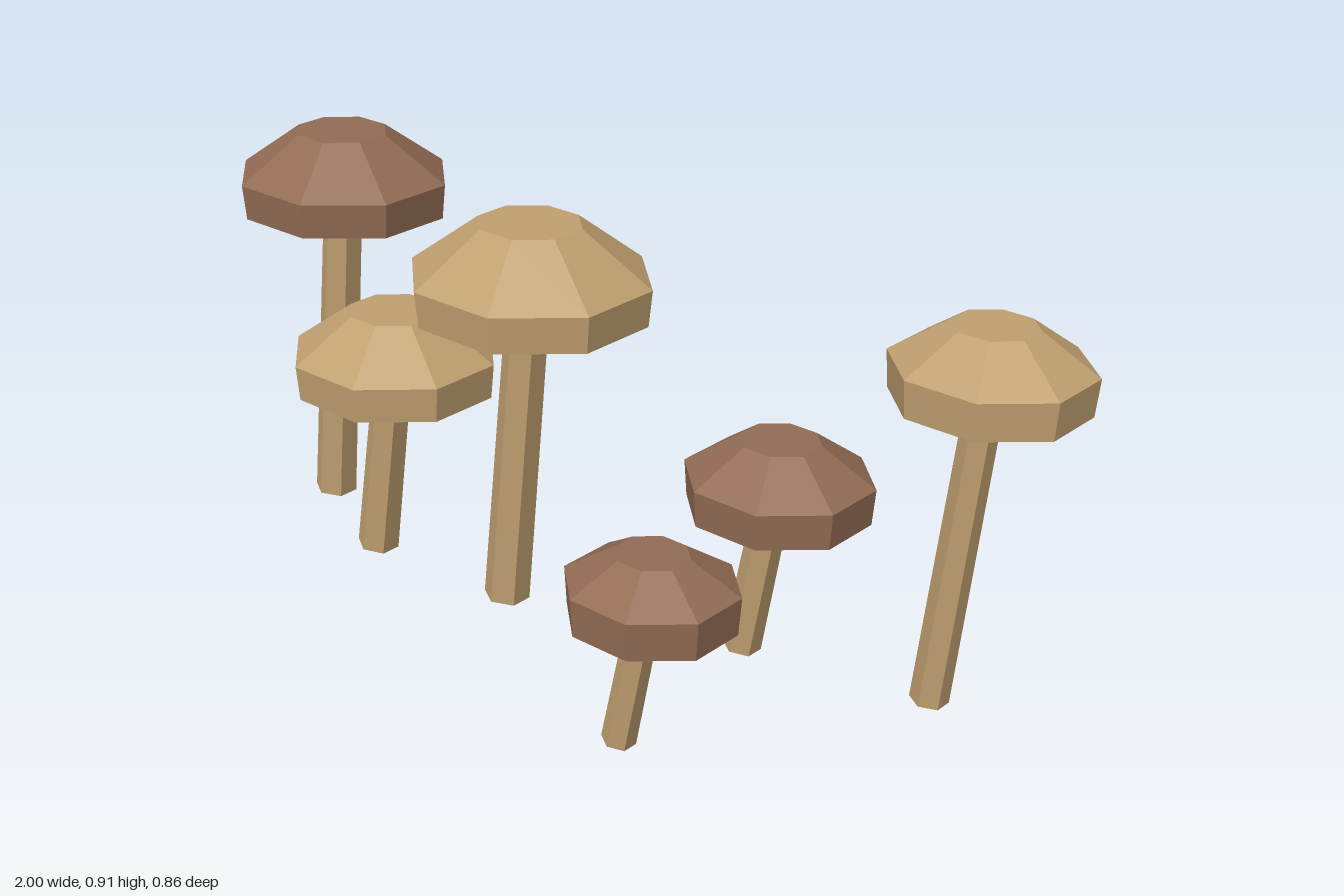
import * as THREE from 'three';

const mat = (name, color) => {
  const m = new THREE.MeshStandardMaterial({ color, flatShading: true });
  m.name = name;
  return m;
};

// Eight-sided cap: flat underside, short rim, sloped top with a flat crown
function makeCap(m, material) {
  const k = 1 / Math.cos(Math.PI / 8);
  const profile = [[0, m.low], [0.97, m.low], [1, m.rim], [0.43, m.top], [0, m.top]]
    .map(([r, y]) => new THREE.Vector2(r * k, y));
  const geo = new THREE.LatheGeometry(profile, 8, Math.PI / 8);
  geo.scale(m.halfX, 1, m.halfZ);
  const cap = new THREE.Mesh(geo, material);
  cap.position.set(m.x, 0, m.z);
  cap.name = 'cap';
  return cap;
}

// Six-sided stem leaning from its foot towards the middle of the cap
function makeStem(m, material) {
  const foot = new THREE.Vector3(m.x - 0.077, 0, m.z);
  const axis = new THREE.Vector3(m.x, m.rim, m.z).sub(foot);
  const lean = Math.atan2(axis.x, axis.y);
  foot.y = m.r * Math.cos(Math.PI / 6) * Math.sin(lean);
  const length = (m.low + 0.03) / Math.cos(lean);
  const geo = new THREE.CylinderGeometry(m.r * 0.91, m.r, length, 6);
  geo.translate(0, length / 2, 0);
  const stem = new THREE.Mesh(geo, material);
  stem.position.copy(foot);
  stem.rotation.z = -lean;
  stem.name = 'stem';
  return stem;
}

export function createModel() {
  const tan = mat('tan', 0xc0a070);
  const brown = mat('brown', 0x926c54);
  const group = new THREE.Group();
  group.name = 'mushrooms';

  // Cap centre, half widths, heights and stem radius of each mushroom
  const mushrooms = [
    { name: 'tallBrownMushroom', color: brown, x: -0.771, z: -0.102, halfX: 0.229, halfZ: 0.213, low: 0.73, rim: 0.807, top: 0.906, r: 0.049 },
    { name: 'shortTanMushroom', color: tan, x: -0.485, z: 0.03, halfX: 0.215, halfZ: 0.205, low: 0.425, rim: 0.502, top: 0.596, r: 0.047 },
    { name: 'tallTanMushroom', color: tan, x: -0.107, z: 0.003, halfX: 0.243, halfZ: 0.228, low: 0.69, rim: 0.768, top: 0.878, r: 0.05 },
    { name: 'backBrownMushroom', color: brown, x: 0.408, z: -0.166, halfX: 0.184, halfZ: 0.174, low: 0.35, rim: 0.427, top: 0.503, r: 0.041 },
    { name: 'frontBrownMushroom', color: brown, x: 0.453, z: 0.277, halfX: 0.162, halfZ: 0.152, low: 0.305, rim: 0.383, top: 0.443, r: 0.035 },
    { name: 'slimTanMushroom', color: tan, x: 0.815, z: -0.254, halfX: 0.185, halfZ: 0.174, low: 0.68, rim: 0.757, top: 0.833, r: 0.04 },
  ];

  for (const m of mushrooms) {
    const mushroom = new THREE.Group();
    mushroom.name = m.name;
    mushroom.add(makeStem(m, tan), makeCap(m, m.color));
    group.add(mushroom);
  }
  return group;
}
